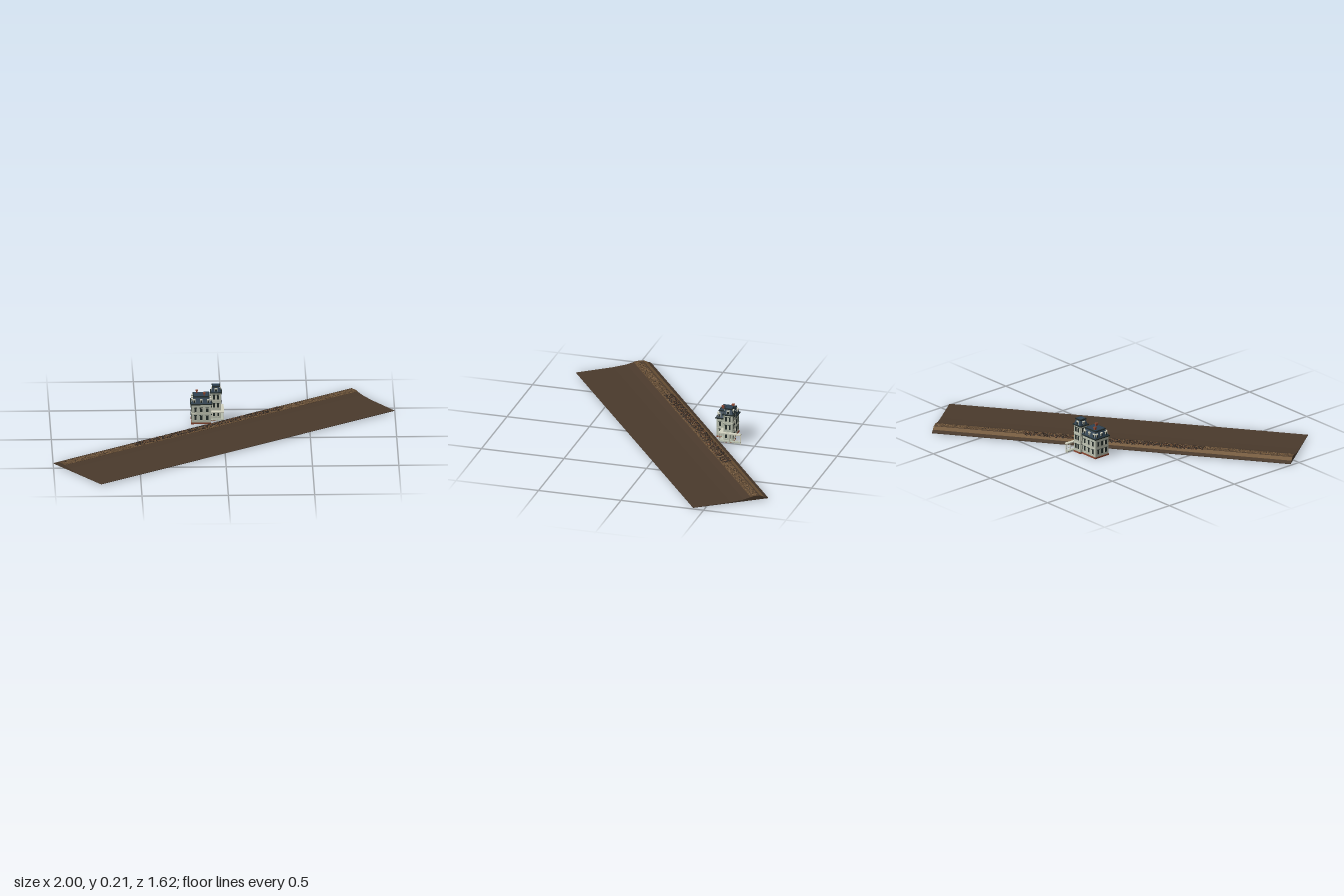
import * as THREE from 'three';
import { mergeGeometries } from 'three/addons/utils/BufferGeometryUtils.js';

const mat = (name, color) => new THREE.MeshStandardMaterial({ name, color });

export function createModel() {
  const M = {
    earth: mat('earth', 0x4a3a2c), tan: mat('dry earth', 0x74593b), gravel: mat('gravel', 0x5c4630),
    dark: mat('dark stone', 0x2a2019), rust: mat('rusty stone', 0x6e4227), wall: mat('pale wall', 0xb9bfae),
    roof: mat('slate roof', 0x2f4252), trim: mat('dark trim', 0x232c2a), brick: mat('brick', 0x8a4630),
    cream: mat('cream trim', 0xd2d2c0),
  };
  const root = new THREE.Group();
  root.name = 'houseBesideEmbankment';

  const add = (parent, name, geo, material, x = 0, y = 0, z = 0) => {
    const m = new THREE.Mesh(geo, material);
    m.name = name;
    m.position.set(x, y, z);
    parent.add(m);
    return m;
  };
  // Box given by its bounds
  const box = (parent, name, material, x0, x1, y0, y1, z0, z1) =>
    add(parent, name, new THREE.BoxGeometry(x1 - x0, y1 - y0, z1 - z0), material,
      (x0 + x1) / 2, (y0 + y1) / 2, (z0 + z1) / 2);
  // Box whose top is pulled in on all sides
  const mansard = (parent, name, material, x0, x1, y0, y1, z0, z1, inset) => {
    const m = box(parent, name, material, x0, x1, y0, y1, z0, z1);
    const p = m.geometry.attributes.position;
    for (let i = 0; i < p.count; i++) {
      if (p.getY(i) < 0) continue;
      p.setX(i, p.getX(i) - Math.sign(p.getX(i)) * inset);
      p.setZ(i, p.getZ(i) - Math.sign(p.getZ(i)) * inset);
    }
    m.geometry.computeVertexNormals();
    return m;
  };

  // Embankment: local x runs across, local z along its length
  const bank = new THREE.Group();
  bank.name = 'embankment';
  bank.rotation.y = -0.947;
  root.add(bank);
  const LENGTH = 2.13;
  const strip = (name, material, points, length) => {
    const shape = new THREE.Shape(points.map(([x, y]) => new THREE.Vector2(x, y)));
    const geo = new THREE.ExtrudeGeometry(shape, { depth: length, bevelEnabled: false });
    add(bank, name, geo, material, 0, 0, -length / 2);
  };
  strip('earthBank', M.earth, [[-0.229, 0.006], [0.229, 0.006], [0.229, 0.008], [0, 0.011], [-0.08, 0.017],
    [-0.14, 0.03], [-0.18, 0.03], [-0.205, 0.018], [-0.229, 0.01]], LENGTH);
  strip('pathEdge', M.tan, [[-0.205, 0.017], [-0.18, 0.029], [-0.18, 0.031], [-0.205, 0.019]], LENGTH);
  strip('gravelBed', M.gravel, [[-0.172, 0.029], [-0.14, 0.029], [-0.122, 0.025], [-0.122, 0.027],
    [-0.14, 0.031], [-0.172, 0.031]], LENGTH);

  // Loose stones, thicker along the middle stretch
  let seed = 7;
  const rand = () => (seed = (seed * 16807) % 2147483647) / 2147483647;
  const stones = (name, material, count, length, v0, v1, size) => {
    const list = [];
    for (let i = 0; i < count; i++) {
      const s = size * (0.6 + 0.6 * rand());
      const g = new THREE.OctahedronGeometry(s);
      g.rotateY(rand() * 6);
      g.scale(1, 0.4, 1);
      const v = v0 + (v1 - v0) * rand();
      const y = v > -0.14 ? 0.031 - (v + 0.14) * 0.217 : v < -0.18 ? 0.031 + (v + 0.18) * 0.48 : 0.031;
      g.translate(v, y, (rand() - 0.5) * length);
      list.push(g);
    }
    add(bank, name, mergeGeometries(list), material);
  };
  stones('darkStones', M.dark, 1500, 1.06, -0.187, -0.132, 0.005);
  stones('rustStones', M.rust, 500, 1.06, -0.187, -0.132, 0.004);
  stones('scatteredDarkStones', M.dark, 550, 2.1, -0.17, -0.125, 0.0035);
  stones('scatteredTanStones', M.tan, 1100, 2.1, -0.17, -0.125, 0.005);

  // House
  const house = new THREE.Group();
  house.name = 'house';
  root.add(house);

  // Framed window on a wall; axis is the outward direction
  const windowAt = (axis, sign, x, y, z, w, h) => {
    const g = new THREE.Group();
    g.name = 'window';
    g.position.set(x, y, z);
    g.rotation.y = axis === 'z' ? (sign > 0 ? 0 : Math.PI) : sign * Math.PI / 2;
    box(g, 'windowFrame', M.cream, -w / 2 - 0.002, w / 2 + 0.002, -h / 2 - 0.002, h / 2 + 0.002, -0.001, 0.001);
    box(g, 'windowPane', M.trim, -w / 2, w / 2, -h / 2, h / 2, 0, 0.0018);
    box(g, 'windowHood', M.trim, -w / 2 - 0.003, w / 2 + 0.003, h / 2 + 0.002, h / 2 + 0.004, 0, 0.004);
    house.add(g);
  };
  // Places something on all four sides of a block
  const aroundBlock = (x0, x1, z0, z1, offsets, place) => {
    const cx = (x0 + x1) / 2, cz = (z0 + z1) / 2;
    for (const s of [-1, 1]) for (const o of offsets) {
      place('z', s, cx + o * (x1 - x0), s > 0 ? z1 : z0);
      place('x', s, s > 0 ? x1 : x0, cz + o * (z1 - z0));
    }
  };
  const dormer = (y, w, h) => (axis, s, x, z) => {
    const g = new THREE.Group();
    g.name = 'dormer';
    g.position.set(x, y, z);
    g.rotation.y = axis === 'z' ? (s > 0 ? 0 : Math.PI) : s * Math.PI / 2;
    box(g, 'dormerBody', M.cream, -w / 2, w / 2, 0, h, -0.016, 0);
    box(g, 'dormerPane', M.trim, -w / 3.4, w / 3.4, h * 0.15, h * 0.8, -0.001, 0.001);
    box(g, 'dormerCap', M.cream, -w / 2 - 0.001, w / 2 + 0.001, h, h + 0.002, -0.016, 0.002);
    house.add(g);
  };

  // Main block
  const A = [-0.182, -0.068], Z = [-0.35, -0.25];
  box(house, 'mainFoundation', M.brick, A[0] - 0.002, A[1], 0, 0.01, Z[0] - 0.002, Z[1] + 0.002);
  box(house, 'mainWalls', M.wall, ...A, 0.01, 0.118, ...Z);
  box(house, 'floorBand', M.cream, A[0] - 0.001, A[1] + 0.001, 0.061, 0.064, Z[0] - 0.001, Z[1] + 0.001);
  box(house, 'mainEaves', M.trim, A[0] - 0.007, A[1] + 0.007, 0.118, 0.124, Z[0] - 0.007, Z[1] + 0.007);
  mansard(house, 'mainRoof', M.roof, A[0] - 0.002, A[1] + 0.002, 0.124, 0.162, Z[0] - 0.002, Z[1] + 0.002, 0.016);
  box(house, 'mainRoofRim', M.trim, A[0] + 0.009, A[1] - 0.009, 0.161, 0.166, Z[0] + 0.009, Z[1] - 0.009);
  box(house, 'mainRoofTop', M.roof, A[0] + 0.014, A[1] - 0.014, 0.165, 0.168, Z[0] + 0.014, Z[1] - 0.014);
  aroundBlock(...A, ...Z, [-0.3, 0, 0.3], (axis, s, x, z) => {
    windowAt(axis, s, x, 0.085, z, 0.013, 0.023);
    windowAt(axis, s, x, 0.038, z, 0.013, 0.025);
  });
  aroundBlock(A[0] + 0.001, A[1] - 0.001, Z[0] + 0.001, Z[1] - 0.001, [-0.36, 0, 0.36], dormer(0.126, 0.014, 0.023));
  for (const [x, z] of [[-0.108, -0.277], [-0.15, -0.325]]) {
    box(house, 'chimney', M.brick, x - 0.005, x + 0.005, 0.14, 0.183, z - 0.006, z + 0.006);
    box(house, 'chimneyCap', M.brick, x - 0.007, x + 0.007, 0.179, 0.184, z - 0.008, z + 0.008);
  }

  // Tower
  const TX = [-0.067, -0.01], TZ = [-0.364, -0.308];
  box(house, 'towerFoundation', M.brick, TX[0], TX[1] + 0.002, 0, 0.01, TZ[0] - 0.002, TZ[1] + 0.002);
  box(house, 'towerWalls', M.wall, ...TX, 0.01, 0.168, ...TZ);
  for (const y of [0.063, 0.12])
    box(house, 'towerBand', M.cream, TX[0] - 0.001, TX[1] + 0.001, y, y + 0.003, TZ[0] - 0.001, TZ[1] + 0.001);
  box(house, 'towerEaves', M.trim, TX[0] - 0.006, TX[1] + 0.006, 0.168, 0.174, TZ[0] - 0.006, TZ[1] + 0.006);
  mansard(house, 'towerRoof', M.roof, TX[0], TX[1], 0.174, 0.204, TZ[0], TZ[1], 0.01);
  box(house, 'towerRoofRim', M.trim, TX[0] + 0.005, TX[1] - 0.005, 0.203, 0.209, TZ[0] + 0.005, TZ[1] - 0.005);
  box(house, 'towerRoofTop', M.roof, TX[0] + 0.009, TX[1] - 0.009, 0.208, 0.211, TZ[0] + 0.009, TZ[1] - 0.009);
  aroundBlock(...TX, ...TZ, [-0.2, 0.2], (axis, s, x, z) => {
    for (const y of [0.04, 0.093, 0.143]) windowAt(axis, s, x, y, z, 0.011, 0.024);
  });
  aroundBlock(TX[0] + 0.001, TX[1] - 0.001, TZ[0] + 0.001, TZ[1] - 0.001, [0], dormer(0.175, 0.016, 0.02));

  // Porch wrapped round the tower corner
  box(house, 'sidePorchRoof', M.cream, -0.012, 0.008, 0.056, 0.063, -0.417, -0.282);
  box(house, 'frontPorchRoof', M.cream, -0.067, -0.012, 0.056, 0.063, -0.308, -0.282);
  box(house, 'sidePorchFloor', M.wall, -0.012, 0.007, 0.008, 0.014, -0.415, -0.284);
  box(house, 'frontPorchFloor', M.wall, -0.067, -0.012, 0.008, 0.014, -0.308, -0.284);
  const posts = [[-0.06, -0.286], [-0.03, -0.286], [-0.009, -0.414]];
  for (let i = 0; i < 5; i++) posts.push([0.004, -0.286 - i * 0.032]);
  for (const [x, z] of posts)
    box(house, 'porchPost', M.cream, x - 0.0015, x + 0.0015, 0, 0.057, z - 0.0015, z + 0.0015);
  box(house, 'sidePorchRail', M.cream, 0.003, 0.005, 0.026, 0.028, -0.414, -0.286);

  return root;
}
